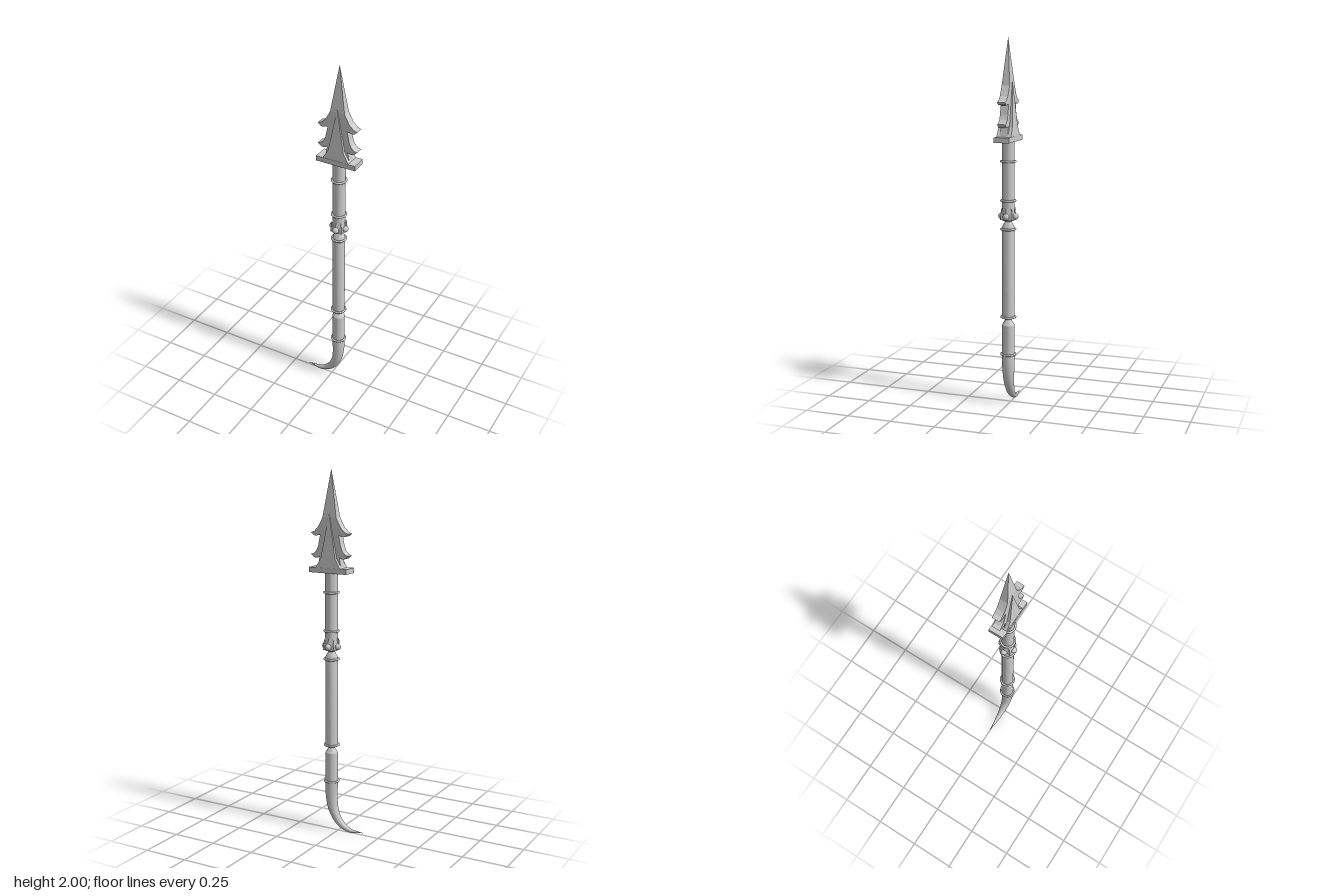
import * as THREE from 'three';
import { toCreasedNormals } from 'three/addons/utils/BufferGeometryUtils.js';

const AXIS = 0.042;
const material = new THREE.MeshStandardMaterial({ color: 0xcccccc, side: THREE.DoubleSide });

// Slab mirrored about x = 0 from its right-hand outline; halfDepth(y) sets its thickness.
function slab(right, halfDepth) {
  const left = right.filter(([x]) => x > 0).reverse().map(([x, y]) => [-x, y]);
  const shape = new THREE.Shape([...right, ...left].map(([x, y]) => new THREE.Vector2(x, y)));
  const geo = new THREE.ExtrudeGeometry(shape, { depth: 1, bevelEnabled: false });
  const pos = geo.attributes.position;
  for (let i = 0; i < pos.count; i++) {
    pos.setZ(i, (pos.getZ(i) > 0.5 ? 1 : -1) * halfDepth(pos.getY(i)));
  }
  geo.computeVertexNormals();
  return geo;
}

function lathe(profile, segments = 24) {
  const points = profile.map(([r, y]) => new THREE.Vector2(r, y));
  return toCreasedNormals(new THREE.LatheGeometry(points, segments), 0.5);
}

// Curved claw: a tube whose rings shrink toward the tip.
function claw() {
  const path = new THREE.CatmullRomCurve3([
    [0, 0.29], [0, 0.2], [-0.013, 0.12], [-0.052, 0.053], [-0.112, 0.017], [-0.198, 0.016],
  ].map(([x, y]) => new THREE.Vector3(x, y, 0)));
  const steps = 32, sides = 20;
  const geo = new THREE.TubeGeometry(path, steps, 1, sides);
  const pos = geo.attributes.position;
  const p = new THREE.Vector3();
  for (let i = 0; i <= steps; i++) {
    const t = i / steps;
    const c = path.getPointAt(t);
    const r = 0.035 * (1 - Math.pow(t, 1.7)) + 0.0005;
    for (let j = 0; j <= sides; j++) {
      const k = i * (sides + 1) + j;
      p.fromBufferAttribute(pos, k).sub(c).multiplyScalar(r).add(c);
      pos.setXYZ(k, p.x, p.y, p.z);
    }
  }
  geo.computeVertexNormals();
  return geo;
}

export function createModel() {
  const model = new THREE.Group();
  model.name = 'spear';
  const weapon = new THREE.Group();
  weapon.name = 'weapon';
  weapon.position.x = AXIS;
  model.add(weapon);
  const add = (name, geo, parent = weapon) => {
    const mesh = new THREE.Mesh(geo, material);
    mesh.name = name;
    parent.add(mesh);
    return mesh;
  };

  // Spearhead: tapering tip, barbed body, raised central plate
  add('bladeTip', slab([[0.041, 1.75], [0, 2]], (y) => 0.022 * (2 - y) / 0.25));
  add('barbedBlade', slab([
    [0.072, 1.48], [0.06, 1.54], [0.068, 1.537], [0.082, 1.532], [0.097, 1.537], [0.113, 1.552],
    [0.094, 1.558], [0.078, 1.575], [0.068, 1.6], [0.063, 1.625], [0.056, 1.658],
    [0.07, 1.654], [0.084, 1.65], [0.097, 1.653], [0.113, 1.667],
    [0.092, 1.675], [0.07, 1.696], [0.055, 1.722], [0.041, 1.75],
  ], () => 0.022));
  add('centralPlate', slab([[0.076, 1.48], [0.044, 1.535], [0, 1.767]],
    (y) => 0.041 - 0.016 * (y - 1.48) / 0.287));
  add('guard', new THREE.BoxGeometry(0.226, 0.028, 0.084)).position.y = 1.47;

  // Shaft sections with narrow necks between them
  add('upperShaft', lathe([[0, 1.465], [0.034, 1.465], [0.034, 1.1], [0, 1.1]]));
  add('middleShaft', lathe([
    [0, 1.1], [0.02, 1.1], [0.018, 1.025], [0.032, 1.0], [0.034, 0.985],
    [0.034, 0.5], [0.018, 0.495], [0.018, 0.482], [0.034, 0.455], [0.034, 0.285], [0, 0.285],
  ]));
  for (const y of [1.35, 1.14, 0.985, 0.5, 0.29]) {
    const ring = add('ring', new THREE.TorusGeometry(0.038, 0.006, 8, 28));
    ring.rotation.x = Math.PI / 2;
    ring.position.y = y;
  }

  // Knot: eight-sided collar, four studs, four crown points on the diagonals
  const knot = new THREE.Group();
  knot.name = 'knot';
  weapon.add(knot);
  add('collar', lathe([
    [0.016, 1.026], [0.036, 1.034], [0.041, 1.055], [0.036, 1.078], [0.034, 1.11],
  ], 8), knot);
  for (let i = 0; i < 4; i++) {
    const a = i * Math.PI / 2;
    const stud = add('stud', new THREE.SphereGeometry(0.018, 16, 12), knot);
    stud.position.set(0.038 * Math.cos(a), 1.055, 0.038 * Math.sin(a));
    const d = a + Math.PI / 4;
    const point = add('crownPoint',
      toCreasedNormals(new THREE.ConeGeometry(0.016, 0.062, 4), 0.5), knot);
    point.position.set(0.037 * Math.cos(d), 1.07, 0.037 * Math.sin(d));
    point.rotation.y = -d;
    point.rotation.z = -0.15;
  }

  // Hooked foot
  add('claw', claw());
  return model;
}
